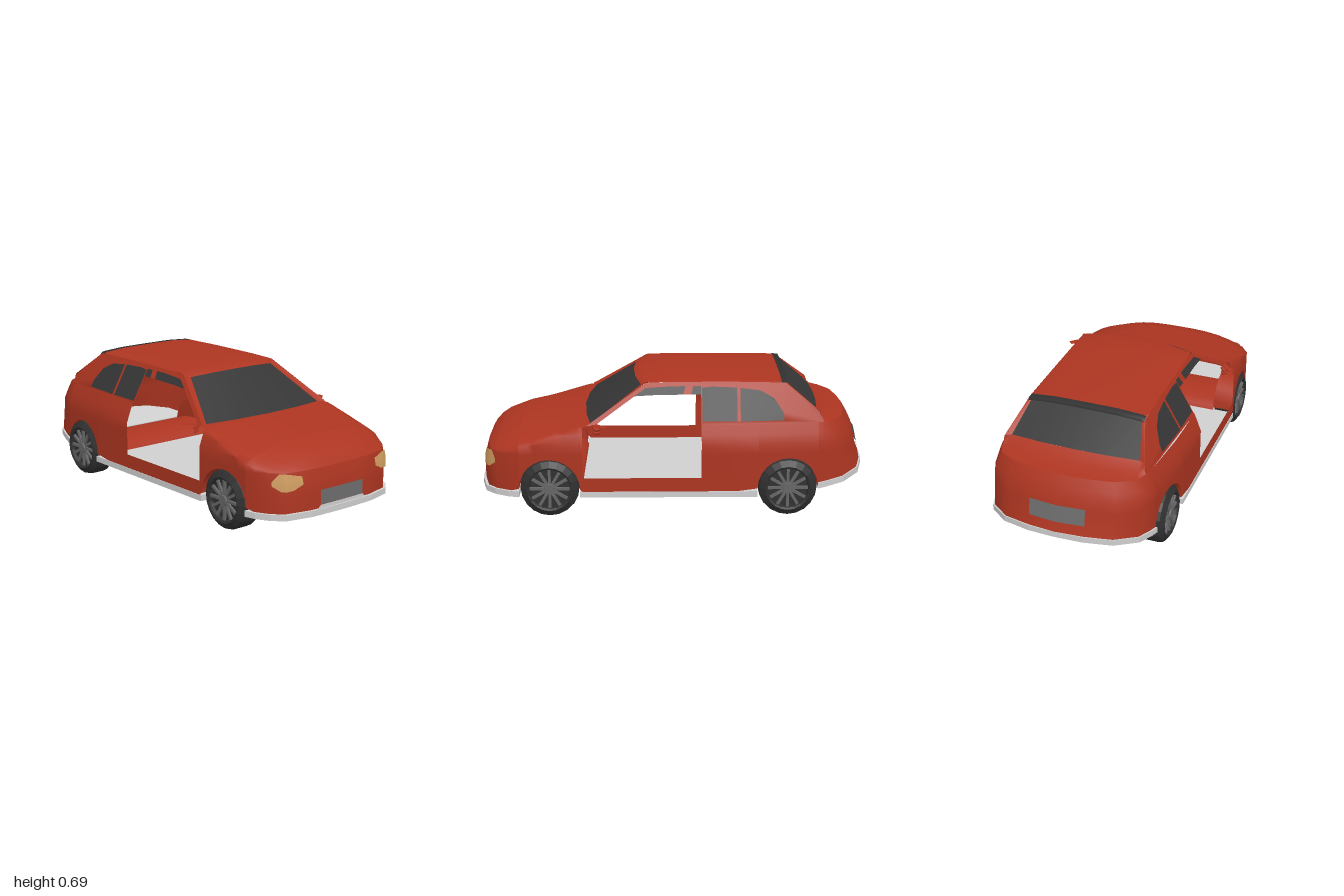
import * as THREE from 'three';
import { mergeGeometries, mergeVertices } from 'three/addons/utils/BufferGeometryUtils.js';

const mat = (name, color) => new THREE.MeshStandardMaterial({ name, color, side: THREE.DoubleSide });

// piecewise linear lookup in [[in, out], ...] with rising inputs
function lerpTable(t, v) {
  if (v <= t[0][0]) return t[0][1];
  for (let i = 1; i < t.length; i++) {
    if (v <= t[i][0]) {
      const [a, p] = t[i - 1], [b, q] = t[i];
      return p + (q - p) * (v - a) / (b - a);
    }
  }
  return t[t.length - 1][1];
}

// surface through rows of points; skip(i, j) leaves a quad open
function patch(rows, skip = () => false) {
  const n = rows[0].length, index = [];
  for (let i = 0; i < rows.length - 1; i++) for (let j = 0; j < n - 1; j++) {
    if (skip(i, j)) continue;
    const a = i * n + j, b = a + n;
    index.push(a, b, a + 1, a + 1, b, b + 1);
  }
  const g = new THREE.BufferGeometry();
  g.setAttribute('position', new THREE.Float32BufferAttribute(rows.flat(2), 3));
  g.setIndex(index);
  g.computeVertexNormals();
  return g;
}
const flip = ([x, y, z]) => [-x, y, z];
// completes a row that runs from the side (+x) to the centre line
const full = row => [...row, ...row.slice(0, -1).reverse().map(flip)];

// body shape rules
const NOSE = 0.785, TAIL = -0.735, ARCH = 0.155;
const noseIn = [[0.21, 1], [0.27, 0.98], [0.33, 0.9], [0.38, 0.76]];
const tailIn = [[0.21, 1], [0.27, 0.91], [0.33, 0.87], [0.38, 0.82], [0.43, 0.73], [0.48, 0.62]];
const taper = [[0.38, 1], [0.43, 0.96], [0.48, 0.915]];
const beltY = [[0.42, 0.48], [0.47, 0.465], [0.63, 0.415], [0.785, 0.365], [0.85, 0.345], [0.95, 0.332]];
const crown = [[0.46, 0.478], [0.785, 0.436], [0.83, 0.424], [0.89, 0.402], [0.934, 0.37], [0.962, 0.332]];
const frontPlan = [[0, 0.985], [0.1, 0.985], [0.2, 0.98], [0.33, 0.95], [0.385, 0.9], [0.42, 0.83]];
const rearPlan = [[0.41, -0.78], [0.38, -0.865], [0.28, -0.95], [0.14, -0.985], [0, -1]];

function skin(x, z, y) {
  let zz = z;
  if (z > NOSE) zz = NOSE + (z - NOSE) * lerpTable(noseIn, y);
  if (z < TAIL) zz = TAIL + (z - TAIL) * lerpTable(tailIn, y);
  return [x * lerpTable(taper, y), y, zz];
}

// point on the nose or tail at a given x and y, lifted by d
function onEnd(plan, x, y, d) {
  const table = [...plan].sort((p, q) => p[0] - q[0]);
  const p = skin(0, lerpTable(table, Math.abs(x) / lerpTable(taper, y)), y);
  return [x + Math.sign(x) * Math.abs(d) * 0.5, y, p[2] + d];
}

export function createModel() {
  const car = new THREE.Group();
  car.name = 'car';
  const red = mat('red paint', 0xad3521), glass = mat('dark glass', 0x363636);
  const trim = mat('light grey trim', 0xcfcfcf), tyreMat = mat('tyre black', 0x303030);
  const rimMat = mat('rim grey', 0x666666), plateMat = mat('plate grey', 0x6c6c6c);
  const lampMat = mat('amber lamp', 0xcc9a5e);
  const add = (name, geo, m, parent = car) => {
    const mesh = new THREE.Mesh(geo, m);
    mesh.name = name;
    parent.add(mesh);
    return mesh;
  };

  // lower body: stations [x, z, bottom y] from nose to tail
  const arch = (c, x0, x1) => Array.from({ length: 13 }, (_, i) => {
    const a = Math.PI * i / 12;
    return [x0 + (x1 - x0) * (1 - Math.cos(a)) / 2, c + ARCH * Math.cos(a), 0.15 + ARCH * Math.sin(a)];
  });
  const frontArch = arch(0.63, 0.438, 0.455), rearArch = arch(-0.58, 0.45, 0.42);
  const half = [
    ...frontPlan.map(([x, z]) => [x, z, 0.135]),
    ...frontArch,
    ...[0.46, 0.15, -0.14, -0.3].map(z => [0.455, z, 0.135]),
    ...rearArch,
    ...rearPlan.map(([x, z]) => [x, z, 0.16 + (TAIL - z) * 0.17]),
  ];
  const ring = [...half.slice(1).reverse().map(([x, z, b]) => [-x, z, b]), ...half];
  const levels = [0, 0.21, 0.27, 0.33, 0.38, 0.43, 1];
  const rows = ring.map(([x, z, b]) => levels.map(l =>
    skin(x, z, Math.min(Math.max(l, b), lerpTable(beltY, z)))));
  const inDoor = z => z < 0.461 && z > -0.141;
  const lower = patch(rows, (i, j) => j > 0 && inDoor(ring[i][1]) && inDoor(ring[i + 1][1]));

  // hood, welded to the lower body so the shading runs over the edge
  const across = [0, 0.08, 0.2, 0.4, 0.6, 0.8, 1];
  const hoodRow = (t, cz) => full(across.map(f => {
    const cy = lerpTable(crown, cz);
    return [t[0] * (1 - f), t[1] + (cy - t[1]) * (1 - (1 - f) ** 3), t[2] + (cz - t[2]) * f];
  }));
  const hood = half.filter(s => s[1] > 0.455).map(([x, z]) => {
    const t = skin(x, z, lerpTable(beltY, z));
    return hoodRow(t, t[2]);
  });
  hood.push(hoodRow([0.415, 0.474, 0.41], 0.455));
  const shell = mergeGeometries([lower, patch(hood)].map(g => g.deleteAttribute('normal')));
  const welded = mergeVertices(shell, 1e-4);
  welded.computeVertexNormals();
  add('lowerBodyAndHood', welded, red);

  // windscreen and its pillars
  const base = [[0.418, 0.474, 0.44], [0.378, 0.475, 0.42], [0.2, 0.477, 0.45], [0, 0.478, 0.46]];
  const head = [[0.302, 0.668, 0.14], [0.272, 0.652, 0.165], [0.15, 0.664, 0.195], [0, 0.668, 0.205]];
  add('windscreen', patch([full(base.slice(1)), full(head.slice(1))]), glass);
  for (const f of [p => p, flip]) {
    add('frontPillar', patch([base.slice(0, 2).map(f), head.slice(0, 2).map(f)]), red);
  }

  // roof, with a dark lip along its rear edge
  const roofRow = (z, e, m) => full([[0.304, e - 0.004, z], [0.288, e + 0.003, z], [0.165, m, z], [0, m + 0.001, z]]);
  add('roof', patch([
    full(head),
    full([[0.303, 0.67, 0.12], [0.285, 0.676, 0.13], [0.165, 0.686, 0.15], [0, 0.687, 0.16]]),
    roofRow(0, 0.675, 0.691), roofRow(-0.3, 0.675, 0.69), roofRow(-0.55, 0.671, 0.683),
  ]), red);
  add('roofLip', patch([
    roofRow(-0.55, 0.672, 0.684), roofRow(-0.582, 0.67, 0.681), roofRow(-0.586, 0.656, 0.667),
  ]), tyreMat);

  // rear window, its pillars and the boot lid
  const rTop = [[0.304, 0.667, -0.57], [0.288, 0.662, -0.58], [0.15, 0.667, -0.584], [0, 0.668, -0.585]];
  const rLow = [[0.366, 0.53, -0.745], [0.335, 0.53, -0.725], [0.17, 0.533, -0.742], [0, 0.534, -0.747]];
  add('rearWindow', patch([full(rTop.slice(1)), full(rLow.slice(1))]), glass);
  for (const f of [p => p, flip]) {
    add('rearPillar', patch([rTop.slice(0, 2).map(f), rLow.slice(0, 2).map(f)]), red);
  }
  const bootEdge = rearPlan.map(([x, z]) => skin(x, z, 0.48));
  const bootTop = [rLow[0], rLow[1], [0.25, 0.532, -0.734], [0.125, 0.5335, -0.744], rLow[3]];
  const blend = [0.45, 0.8, 0.4];
  const bootMid = bootTop.map((p, i) => p.map((v, k) => v + (bootEdge[i][k] - v) * blend[k]));
  add('bootLid', patch([full(bootTop), full(bootMid), full(bootEdge)]), red);

  // upper sides, outlined in (z, y) and leaned inwards
  const rearWindows = [
    [[-0.145, 0.492], [-0.145, 0.645], [-0.2, 0.65], [-0.322, 0.645], [-0.322, 0.492]],
    [[-0.338, 0.492], [-0.338, 0.643], [-0.44, 0.632], [-0.51, 0.595], [-0.555, 0.53], [-0.56, 0.492]],
  ];
  const sideOutline = [[0.44, 0.474], [0.14, 0.668], [0, 0.672], [-0.3, 0.672], [-0.57, 0.667], [-0.745, 0.53],
    [-0.763, 0.477], [-0.72, 0.474], [-0.5, 0.474], [-0.14, 0.474], [-0.14, 0.652], [0, 0.652], [0.14, 0.645], [0.4, 0.474]];
  const doorGlass = [[0.2, 0.607], [0.14, 0.645], [0, 0.652], [-0.06, 0.652], [-0.05, 0.614], [0.1, 0.612]];
  const doorPost = [[-0.05, 0.614], [-0.06, 0.652], [-0.1, 0.652], [-0.09, 0.614]];
  const backGlass = [[-0.09, 0.614], [-0.1, 0.652], [-0.14, 0.652], [-0.14, 0.615]];
  const shape = pts => new THREE.Shape(pts.map(p => new THREE.Vector2(...p)));
  const lean = (s, side) => {
    const g = new THREE.ShapeGeometry(s), p = g.attributes.position;
    for (let i = 0; i < p.count; i++) {
      const z = p.getX(i), y = p.getY(i);
      const belt = 0.416 - Math.max(0, -0.4 - z) * 0.105;
      p.setXYZ(i, side * (belt + (0.304 - belt) * (y - 0.475) / 0.195), y, z);
    }
    g.computeVertexNormals();
    return g;
  };
  for (const side of [1, -1]) {
    const panel = shape(sideOutline);
    panel.holes = rearWindows.map(w => new THREE.Path(w.map(p => new THREE.Vector2(...p))));
    add('upperSide', lean(panel, side), red);
    for (const w of rearWindows) add('rearSideWindow', lean(shape(w), side), glass);
    add('doorGlass', lean(shape(doorGlass), side), glass);
    add('doorGlass', lean(shape(backGlass), side), glass);
    add('doorPost', lean(shape(doorPost), side), red);

    // mirror: thin cap above two short stalks
    for (const [y, w] of [[0.44, 0.022], [0.46, 0.03]]) {
      const m = add('mirrorStalk', new THREE.BoxGeometry(w, 0.01, 0.03), red);
      m.position.set(side * 0.418, y, 0.39);
      m.rotation.set(0, side * 0.7, side * -0.5);
    }
    const top = add('mirrorCap', new THREE.BoxGeometry(0.085, 0.003, 0.03), red);
    top.position.set(side * 0.442, 0.479, 0.372);
    top.rotation.y = side * 0.75;

    // headlamp
    const lamp = [[0.24, 0.273, 0.31], [0.29, 0.25, 0.322], [0.33, 0.246, 0.331], [0.35, 0.248, 0.332], [0.382, 0.275, 0.292]];
    add('headlamp', patch(lamp.map(([x, a, b]) => [0, 0.33, 0.67, 1].map(t =>
      onEnd(frontPlan, side * x, a + (b - a) * t, 0.009)))), lampMat);

    // wheel arch liners and inner walls
    for (const [a, z] of [[frontArch, 0.63], [rearArch, -0.58]]) {
      add('archLiner', patch(a.map(([x, az, y]) => [[side * x, y, az], [side * 0.34, y, az]])), red);
      const wall = add('archWall', new THREE.CircleGeometry(ARCH, 16, 0, Math.PI), red);
      wall.rotation.y = Math.PI / 2;
      wall.position.set(side * 0.34, 0.15, z);
    }
  }

  // number plates and the lower front trim
  const plate = (name, plan, y0, y1, w0, w1, d, m) => add(name, patch([y0, (y0 + y1) / 2, y1].map((y, i) =>
    [-1, -0.5, 0, 0.5, 1].map(k => onEnd(plan, k * (w0 + (w1 - w0) * i / 2), y, d)))), m);
  plate('frontPlate', frontPlan, 0.155, 0.228, 0.138, 0.138, 0.006, plateMat);
  plate('frontPlateTrim', frontPlan, 0.135, 0.155, 0.16, 0.138, 0.007, trim);
  plate('rearPlate', rearPlan, 0.265, 0.35, 0.14, 0.14, -0.008, plateMat);

  // floor pan and bumper trays, drawn in plan as [x, z]
  const tray = (name, pts, y) => {
    const out = [...pts, ...pts.map(([x, z]) => [-x, z]).reverse()].map(([x, z]) => [x, -z]);
    const g = new THREE.ExtrudeGeometry(shape(out), { depth: 0.03, bevelEnabled: false });
    g.rotateX(-Math.PI / 2);
    g.translate(0, y, 0);
    return add(name, g, trim);
  };
  tray('floorPan', [[0.458, 0.475], [0.458, -0.425]], 0.108);
  tray('frontBumper', [[0.445, 0.785], [0.43, 0.84], [0.392, 0.91], [0.337, 0.963], [0.2, 0.994], [0.05, 1]], 0.107);
  const rear = tray('rearBumper', [[0.43, -0.735], [0.418, -0.785], [0.388, -0.87], [0.285, -0.957], [0.142, -0.993], [0.02, -1]], 0.14);
  const rp = rear.geometry.attributes.position;
  for (let i = 0; i < rp.count; i++) rp.setY(i, rp.getY(i) + (TAIL - rp.getZ(i)) * 0.17);
  rear.geometry.computeVertexNormals();

  // shallow cross panels over the axles
  for (const [name, c] of [['frontAxlePanel', 0.63], ['rearAxlePanel', -0.58]]) {
    add(name, patch(Array.from({ length: 9 }, (_, i) => {
      const a = Math.PI * i / 8;
      return [0.342, -0.342].map(x => [x, 0.135 + 0.06 * Math.sin(a), c + 0.165 * Math.cos(a)]);
    })), red);
  }

  // wheels, built with the outer face towards +x
  const tyreProfile = [[0.02, -0.055], [0.15, -0.055], [0.15, 0.015], [0.145, 0.035], [0.115, 0.055], [0.105, 0.05], [0.102, 0.03], [0, 0.03]];
  for (const side of [1, -1]) for (const z of [0.63, -0.58]) {
    const wheel = new THREE.Group();
    wheel.name = z > 0 ? 'frontWheel' : 'rearWheel';
    const tyre = new THREE.LatheGeometry(tyreProfile.map(p => new THREE.Vector2(...p)), 20).toNonIndexed();
    tyre.computeVertexNormals();
    tyre.rotateZ(-Math.PI / 2);
    add('tyre', tyre, tyreMat, wheel);
    const hub = add('hub', new THREE.CylinderGeometry(0.026, 0.03, 0.02, 12), rimMat, wheel);
    hub.rotation.z = -Math.PI / 2;
    hub.position.x = 0.042;
    for (let i = 0; i < 12; i++) {
      const spoke = new THREE.BoxGeometry(0.012, 0.084, 0.014);
      spoke.translate(0.038, 0.06, 0);
      spoke.rotateX(i * Math.PI / 6);
      add('spoke', spoke, rimMat, wheel);
    }
    wheel.position.set(side * 0.4, 0.15, z);
    if (side < 0) wheel.rotation.y = Math.PI;
    car.add(wheel);
  }
  return car;
}
